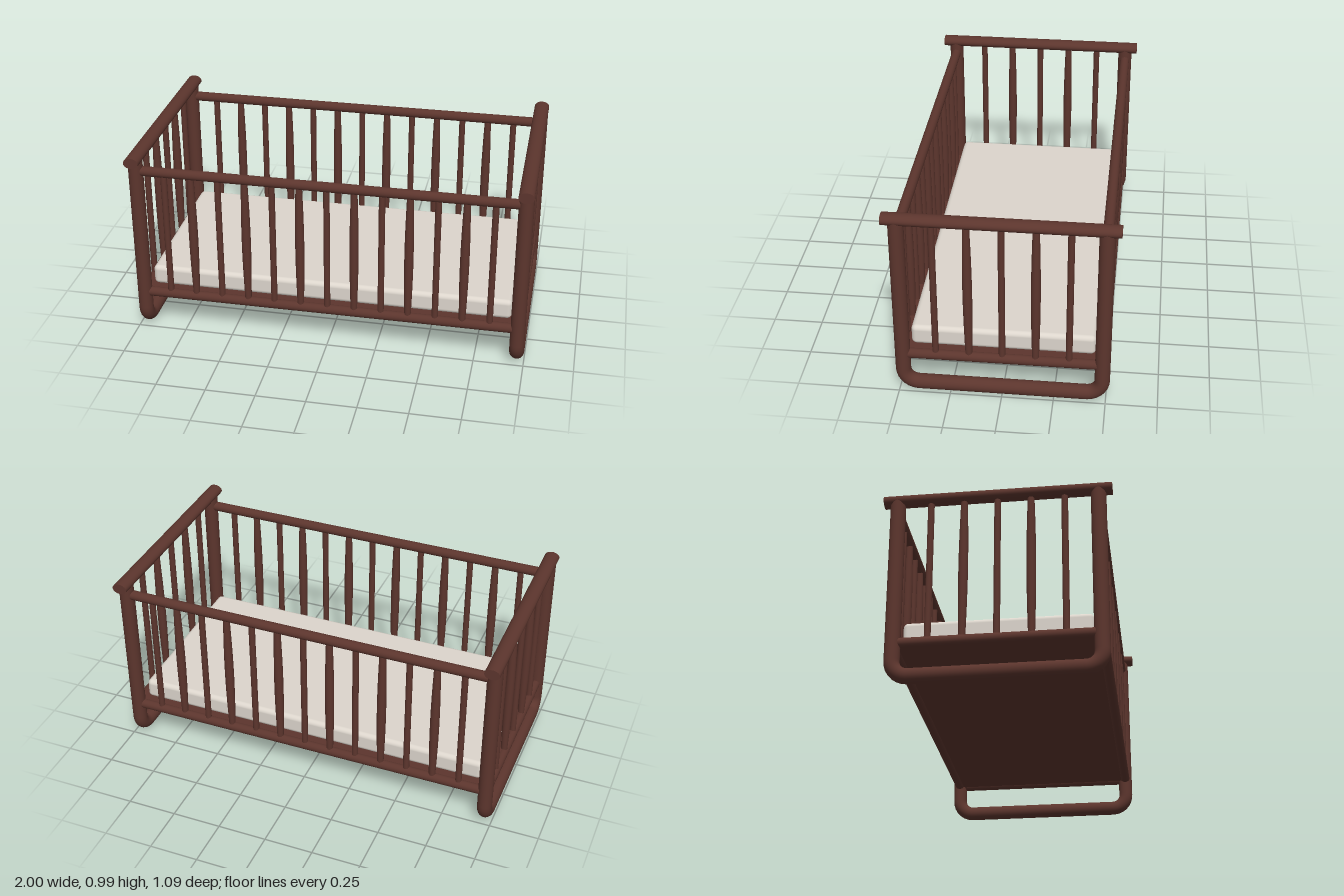
import * as THREE from 'three';
import { RoundedBoxGeometry } from 'three/addons/geometries/RoundedBoxGeometry.js';

const wood = new THREE.MeshStandardMaterial({ color: 0x5c352d });
const cloth = new THREE.MeshStandardMaterial({ color: 0xdcd5cc });

const POST_X = 0.962, POST_Z = 0.481, POST_R = 0.037;
const RAIL_R = 0.025, LOW_Y = 0.205, HIGH_Y = 0.895;

export function createModel() {
  const model = new THREE.Group();
  model.name = 'crib';

  const add = (parent, name, geometry, x, y, z, material = wood) => {
    const mesh = new THREE.Mesh(geometry, material);
    mesh.name = name;
    mesh.position.set(x, y, z);
    parent.add(mesh);
    return mesh;
  };

  // Upright bar, either straight or swelling gently towards the middle
  const bar = (y0, y1, swollen) => {
    const profile = [];
    const steps = swollen ? 12 : 1;
    for (let i = 0; i <= steps; i++) {
      const t = i / steps;
      const r = 0.016 + (swollen ? 0.007 * Math.sin(Math.PI * t) : 0);
      profile.push(new THREE.Vector2(r, y0 + (y1 - y0) * t));
    }
    return new THREE.LatheGeometry(profile, 16);
  };

  // U-shaped end frame: two posts joined by a floor runner with round corners
  const bend = 0.075, k = bend * 0.448, low = POST_R;
  const v = (y, z) => new THREE.Vector3(0, y, z);
  const path = new THREE.CurvePath();
  path.add(new THREE.LineCurve3(v(0.955, POST_Z), v(low + bend, POST_Z)));
  path.add(new THREE.CubicBezierCurve3(v(low + bend, POST_Z), v(low + k, POST_Z),
    v(low, POST_Z - k), v(low, POST_Z - bend)));
  path.add(new THREE.LineCurve3(v(low, POST_Z - bend), v(low, bend - POST_Z)));
  path.add(new THREE.CubicBezierCurve3(v(low, bend - POST_Z), v(low, k - POST_Z),
    v(low + k, -POST_Z), v(low + bend, -POST_Z)));
  path.add(new THREE.LineCurve3(v(low + bend, -POST_Z), v(0.955, -POST_Z)));
  const frameGeometry = new THREE.TubeGeometry(path, 160, POST_R, 24, false);

  // Oval hand rail that overhangs the posts
  const handRail = new THREE.CylinderGeometry(1, 1, 1.094, 32);
  handRail.rotateX(Math.PI / 2).scale(0.038, 0.0275, 1);
  const endRail = new THREE.CylinderGeometry(RAIL_R, RAIL_R, 0.93, 20).rotateX(Math.PI / 2);

  for (const side of [-1, 1]) {
    const end = new THREE.Group();
    end.name = side > 0 ? 'leftEnd' : 'rightEnd';
    model.add(end);
    const x = side * POST_X;
    add(end, 'endFrame', frameGeometry, x, 0, 0);
    add(end, 'handRail', handRail, x, 0.961, 0);
    add(end, 'lowerEndRail', endRail, x, LOW_Y, 0);
    for (let i = -2; i <= 2; i++) {
      add(end, 'endBar', bar(LOW_Y, 0.955, i % 2 !== 0), x, 0, i * 0.16);
    }
  }

  // Long sides: two rails with thirteen alternating bars
  const sideRail = new THREE.CylinderGeometry(RAIL_R, RAIL_R, 1.88, 20).rotateZ(Math.PI / 2);
  for (const side of [-1, 1]) {
    const panel = new THREE.Group();
    panel.name = side > 0 ? 'frontSide' : 'backSide';
    model.add(panel);
    const z = side * POST_Z;
    add(panel, 'upperSideRail', sideRail, 0, HIGH_Y, z);
    add(panel, 'lowerSideRail', sideRail, 0, LOW_Y, z);
    for (let i = -6; i <= 6; i++) {
      add(panel, 'sideBar', bar(LOW_Y, HIGH_Y, i % 2 !== 0), i * 0.1367, 0, z);
    }
  }

  // Bed base and mattress
  add(model, 'bedBase', new THREE.BoxGeometry(1.91, 0.034, 0.95), 0, 0.211, 0);
  add(model, 'mattress', new RoundedBoxGeometry(1.848, 0.104, 0.888, 4, 0.024), 0, 0.279, 0, cloth);

  return model;
}
